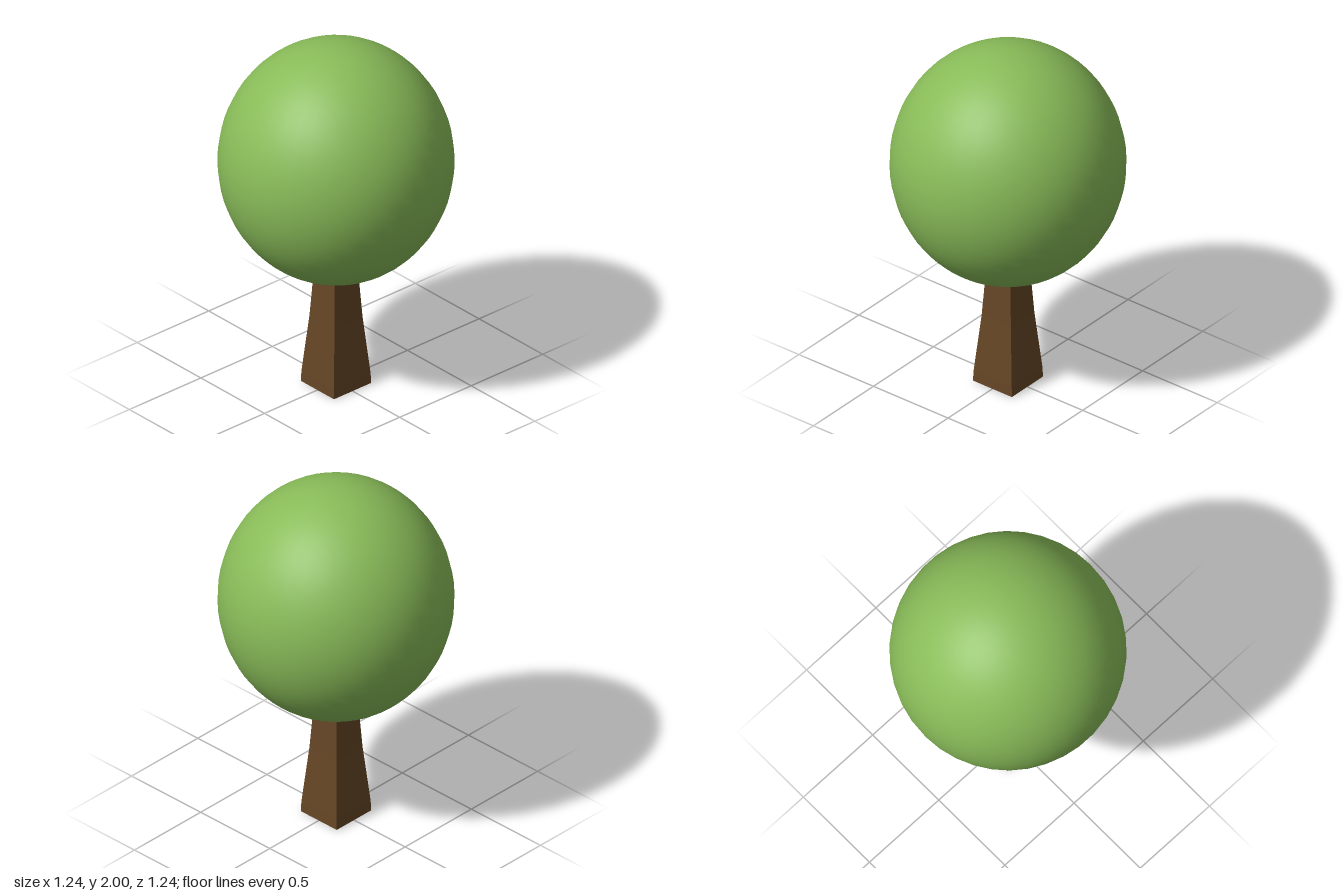
import * as THREE from 'three';

export function createModel() {
  const tree = new THREE.Group();
  tree.name = 'tree';

  // Square tapered trunk: [half width, height], closed at both ends
  const profile = [[0, 0], [0.13, 0], [0.128, 0.06], [0.098, 0.4], [0.082, 0.67], [0.08, 0.74], [0, 0.74]]
    .map(([half, y]) => new THREE.Vector2(half * Math.SQRT2, y));
  const trunk = new THREE.Mesh(
    new THREE.LatheGeometry(profile, 4, Math.PI / 4),
    new THREE.MeshStandardMaterial({ color: 0x664626, flatShading: true })
  );
  trunk.name = 'trunk';
  tree.add(trunk);

  // Smooth crown, slightly taller than wide
  const crownGeometry = new THREE.SphereGeometry(1, 38, 32);
  crownGeometry.scale(0.62, 0.667, 0.62);
  const crown = new THREE.Mesh(crownGeometry, new THREE.MeshStandardMaterial({ color: 0x88bb58 }));
  crown.name = 'crown';
  crown.position.y = 1.333;
  tree.add(crown);

  return tree;
}
